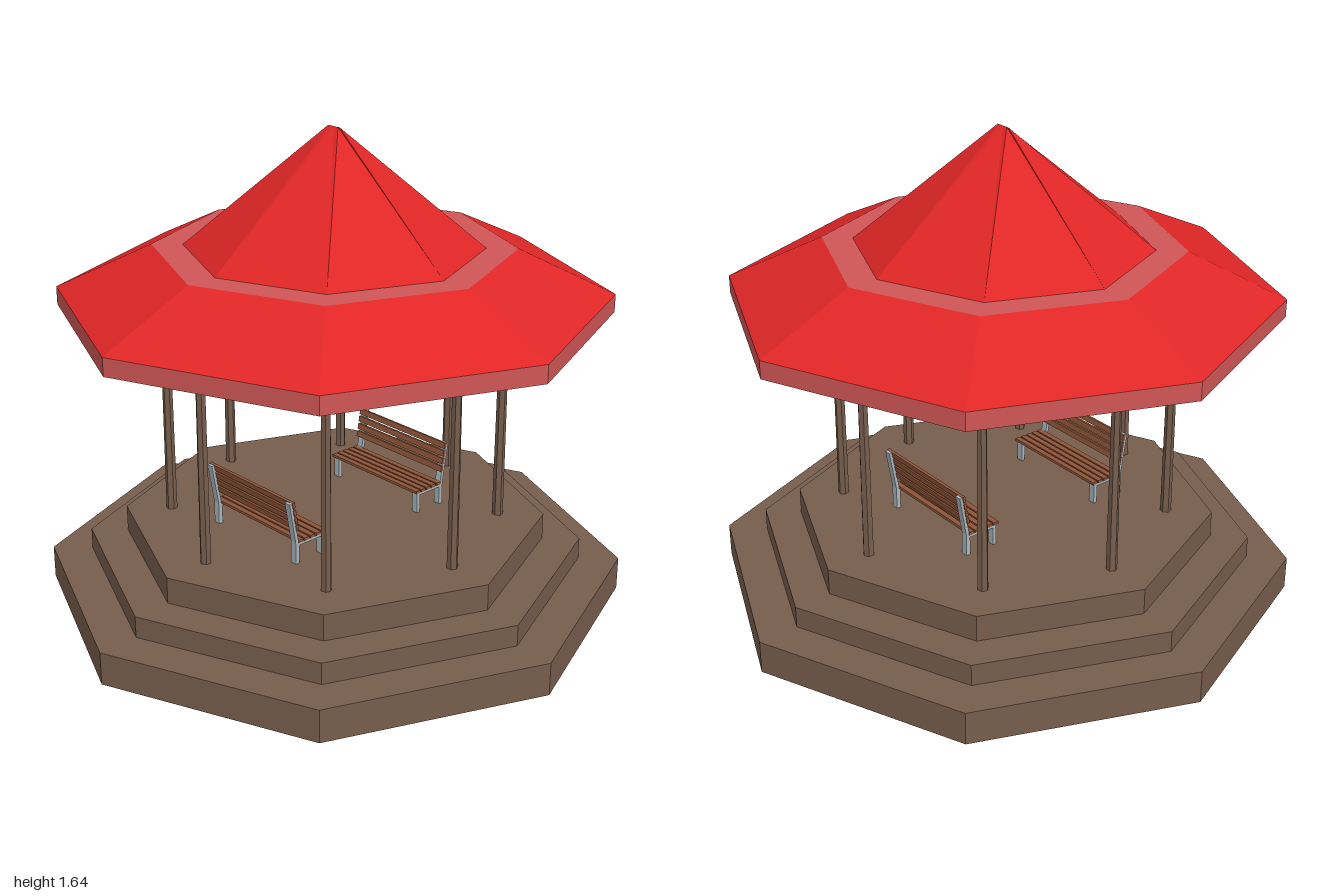
import * as THREE from 'three';

const mat = (name, color) => {
  const m = new THREE.MeshStandardMaterial({ color, flatShading: true });
  m.name = name;
  return m;
};

export function createModel() {
  const red = mat('roof red', 0xe02626);
  const pink = mat('faded red trim', 0xd05656);
  const brown = mat('brown timber', 0x765d4c);
  const wood = mat('bench wood', 0x8f5539);
  const steel = mat('bench steel', 0xa9b5ba);

  const model = new THREE.Group();
  model.name = 'pavilion';

  const add = (parent, name, geometry, material, x = 0, y = 0, z = 0) => {
    const mesh = new THREE.Mesh(geometry, material);
    mesh.name = name;
    mesh.position.set(x, y, z);
    parent.add(mesh);
    return mesh;
  };

  // Eight-sided surface from a [radius, height] profile
  const octagon = (name, material, ...profile) => {
    const points = profile.map(([r, y]) => new THREE.Vector2(r, y));
    return add(model, name, new THREE.LatheGeometry(points, 8), material);
  };

  // Stepped base
  [[1, 0, 0.115], [0.86, 0.115, 0.19], [0.73, 0.19, 0.282]].forEach(([r, y0, y1], i) =>
    add(model, `step${i + 1}`, new THREE.CylinderGeometry(r, r, y1 - y0, 8), brown, 0, (y0 + y1) / 2));

  // Posts under the corners of the roof
  for (let i = 0; i < 8; i++) {
    const a = i * Math.PI / 4;
    const post = add(model, 'post', new THREE.CylinderGeometry(0.016, 0.019, 0.745, 6), brown,
      Math.sin(a) * 0.57, 0.6525, Math.cos(a) * 0.57);
    post.rotation.y = a;
  }

  // Lower roof
  octagon('eaveBand', pink, [0.93, 1.03], [0.93, 1.092]);
  octagon('lowerRoof', red, [0.93, 1.092], [0.605, 1.245]);
  octagon('roofLedge', pink, [0.605, 1.245], [0.49, 1.245]);
  octagon('soffit', brown, [0.64, 1.17], [0.93, 1.03]);

  // Ring beam hanging below the roof
  octagon('beamTop', brown, [0.65, 1.1], [0.65, 1.175]);
  octagon('beamBand', red, [0.65, 1.022], [0.65, 1.1]);
  octagon('beamUnderside', brown, [0.5, 1.022], [0.65, 1.022]);
  octagon('beamInside', steel, [0.5, 1.12], [0.5, 1.022]);
  octagon('ceiling', brown, [0, 1.12], [0.5, 1.12]);

  // Upper roof, its tip pinched into a short ridge
  const upper = octagon('upperRoof', red, [0.5, 1.245], [0.027, 1.645]).geometry;
  const p = upper.attributes.position;
  for (let i = 0; i < p.count; i++) if (p.getY(i) > 1.6) p.setX(i, 0);
  upper.computeVertexNormals();

  // Benches facing each other; built with the seat towards +x
  const makeBench = (name, x, turn) => {
    const bench = new THREE.Group();
    bench.name = name;
    const lean = 0.17;
    for (const z of [-0.2, 0.2]) {
      add(bench, 'frontLeg', new THREE.BoxGeometry(0.014, 0.075, 0.024), steel, 0.125, 0.0375, z);
      add(bench, 'backLeg', new THREE.BoxGeometry(0.016, 0.085, 0.024), steel, 0.015, 0.0425, z);
      add(bench, 'seatRail', new THREE.BoxGeometry(0.125, 0.01, 0.024), steel, 0.07, 0.07, z);
      add(bench, 'backUpright', new THREE.BoxGeometry(0.012, 0.15, 0.024), steel, 0.001, 0.15, z)
        .rotation.z = lean;
    }
    for (let i = 0; i < 5; i++)
      add(bench, 'seatSlat', new THREE.BoxGeometry(0.02, 0.01, 0.43), wood, 0.028 + i * 0.0255, 0.08, 0);
    for (let i = 0; i < 4; i++) {
      const y = 0.132 + i * 0.028;
      add(bench, 'backSlat', new THREE.BoxGeometry(0.01, 0.021, 0.43), wood, 0.01 - (y - 0.15) * lean, y, 0)
        .rotation.z = lean;
    }
    bench.position.set(x, 0.282, 0);
    bench.rotation.y = turn;
    model.add(bench);
  };
  makeBench('rightBench', -0.37, 0);
  makeBench('leftBench', 0.33, Math.PI);

  return model;
}
